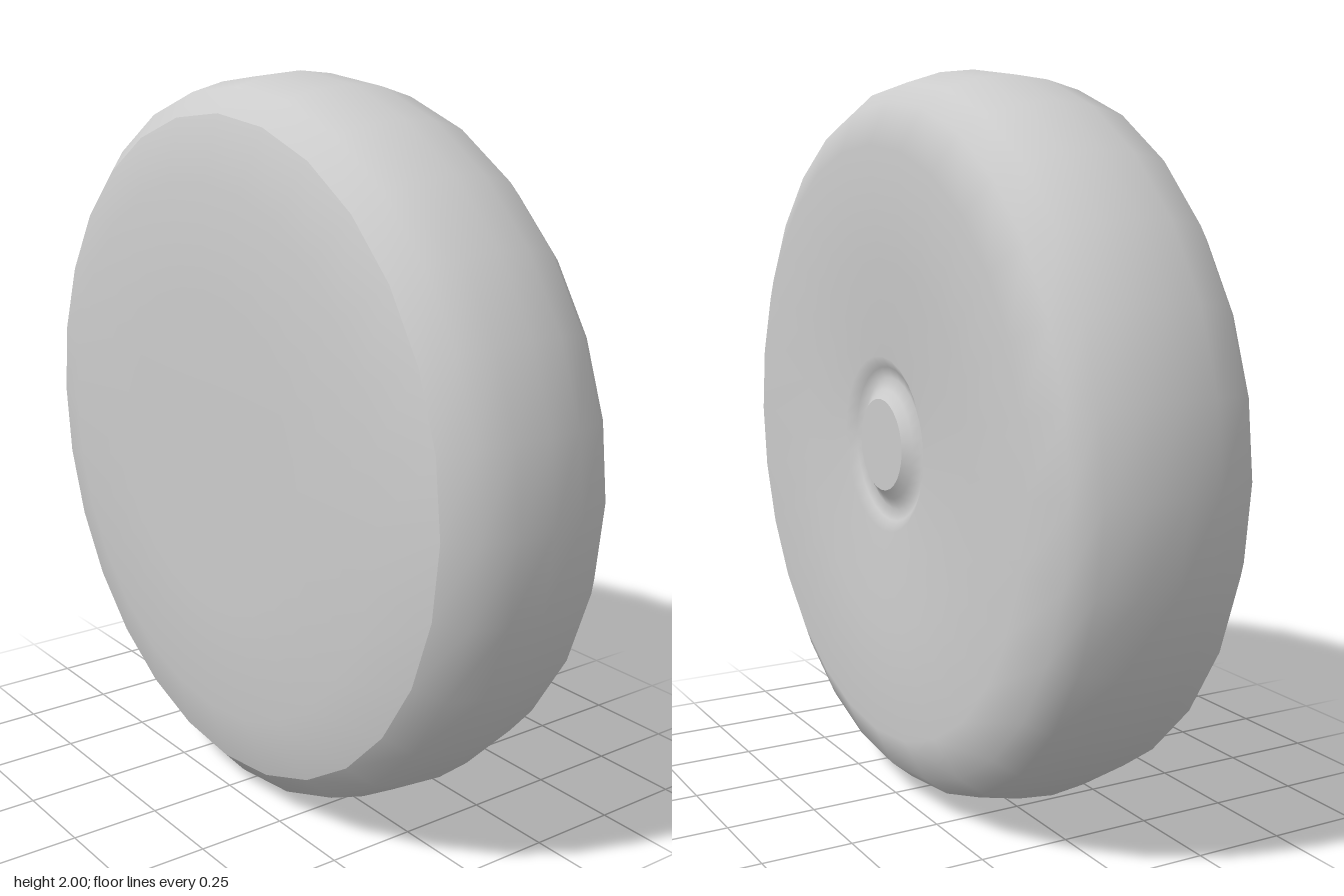
import * as THREE from 'three';

const SIDES = 28;
const material = new THREE.MeshStandardMaterial({ color: 0xcccccc });

// Turns a [radius, z] profile, listed from back to front, around the z axis.
function turned(name, profile) {
  const points = profile.map(([r, z]) => new THREE.Vector2(r, z));
  const geometry = new THREE.LatheGeometry(points, SIDES);
  geometry.rotateX(Math.PI / 2);
  const mesh = new THREE.Mesh(geometry, material);
  mesh.name = name;
  return mesh;
}

export function createModel() {
  const wheel = new THREE.Group();
  wheel.name = 'wheel';

  // Flat end of the axle boss in the middle of the back
  wheel.add(turned('hubCap', [[0, -0.285], [0.125, -0.285]]));

  // Groove around the boss, shallow dished back, rounded tread and front bevel
  wheel.add(turned('tire', [
    [0.125, -0.285], [0.15, -0.265], [0.18, -0.25], [0.21, -0.26], [0.24, -0.28],
    [0.5, -0.285], [0.8, -0.31], [0.91, -0.26], [0.96, -0.2],
    [0.99, -0.1], [1, 0], [0.99, 0.1], [0.965, 0.2], [0.9, 0.26],
  ]));

  // Slightly domed front face, meeting the bevel at a sharp edge
  wheel.add(turned('frontFace', [[0.9, 0.26], [0.73, 0.31], [0.4, 0.312], [0, 0.312]]));

  wheel.position.y = 1;
  const model = new THREE.Group();
  model.add(wheel);
  return model;
}
